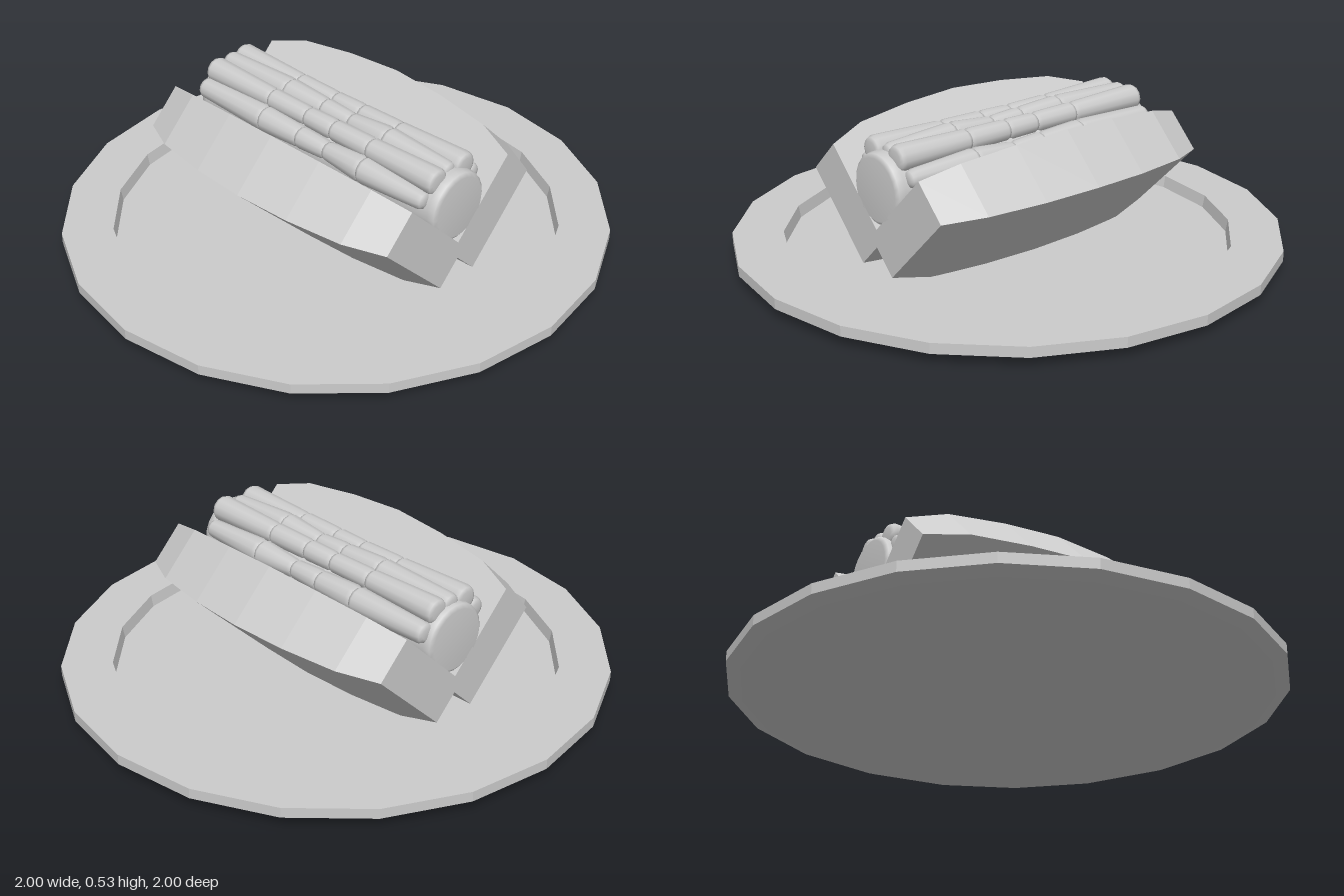
import * as THREE from 'three';

const material = (flatShading) =>
  new THREE.MeshStandardMaterial({ color: 0xcccccc, flatShading });

function addMesh(parent, name, geometry, flat) {
  const mesh = new THREE.Mesh(geometry, material(flat));
  mesh.name = name;
  parent.add(mesh);
  return mesh;
}

const lathe = (points, sides) =>
  new THREE.LatheGeometry(points.map(([r, y]) => new THREE.Vector2(r, y)), sides);

// Slab of bread leaning outwards at 45 degrees, lofted along x.
// Each station: x, (z + y) at the upper end, (z - y) of the outer crust.
function breadGeometry() {
  const half = [[0.22, 0.828, 0.105], [0.44, 0.785, 0.075], [0.585, 0.705, 0.02]];
  const stations = [
    ...half.map(([x, c, d]) => [-x, c, d]).reverse(),
    [0, 0.848, 0.115],
    ...half,
  ];
  const inner = -0.215, low = 0.15;
  const positions = [], index = [];
  for (const [x, high, outer] of stations) {
    for (const [sum, diff] of [[low, inner], [low, outer], [high, outer], [high, inner]]) {
      positions.push(x, (sum - diff) / 2, (sum + diff) / 2);
    }
  }
  for (let s = 0; s < stations.length - 1; s++) {
    for (let k = 0; k < 4; k++) {
      const a = s * 4 + k, b = s * 4 + (k + 1) % 4;
      index.push(a, a + 4, b, b, a + 4, b + 4);
    }
  }
  const e = (stations.length - 1) * 4;
  index.push(0, 1, 2, 0, 2, 3, e, e + 2, e + 1, e, e + 3, e + 2);
  const g = new THREE.BufferGeometry();
  g.setAttribute('position', new THREE.Float32BufferAttribute(positions, 3));
  g.setIndex(index);
  const out = g.toNonIndexed();
  out.computeVertexNormals();
  return out;
}

// Tapered, round-ended piece of topping lying along x
function toppingGeometry(x0, x1, r0, r1) {
  const round = 0.02;
  const g = lathe([
    [0, x0], [r0 - round, x0], [r0 - round * 0.3, x0 + round * 0.3], [r0, x0 + round],
    [r1, x1 - round], [r1 - round * 0.3, x1 - round * 0.3], [r1 - round, x1], [0, x1],
  ], 12);
  return g.rotateZ(-Math.PI / 2);
}

export function createModel() {
  const model = new THREE.Group();
  model.name = 'hotDogOnPlate';

  // Twenty-sided plate with a sunken middle
  addMesh(model, 'plate', lathe([
    [0, 0.005], [0.88, 0.005], [0.95, 0.022], [1, 0.042], [1, 0.08],
    [0.815, 0.08], [0.807, 0.035], [0, 0.035],
  ], 20), true);

  // Two mirrored bun halves
  const bun = new THREE.Group();
  bun.name = 'bun';
  model.add(bun);
  addMesh(bun, 'frontBunHalf', breadGeometry(), true);
  addMesh(bun, 'backBunHalf', breadGeometry().rotateY(Math.PI), true);

  // Sausage
  const centreY = 0.36;
  const sausage = addMesh(model, 'sausage', lathe([
    [0, -0.585], [0.112, -0.585], [0.126, -0.575], [0.131, -0.55],
    [0.131, 0.55], [0.126, 0.575], [0.112, 0.585], [0, 0.585],
  ], 24).rotateZ(-Math.PI / 2), false);
  sausage.position.y = centreY;

  // Five rows of topping around the upper side of the sausage
  const toppings = new THREE.Group();
  toppings.name = 'toppings';
  model.add(toppings);
  const cuts = [-0.56, -0.25, -0.07, 0.06, 0.235, 0.55];
  const wide = [0.045, 0.04, 0.038, 0.04, 0.042, 0.05];
  const slim = [0.04, 0.05, 0.042, 0.036, 0.05, 0.042];
  [-64, -29, 0, 32, 64].forEach((degrees, row) => {
    const angle = THREE.MathUtils.degToRad(degrees);
    const radii = row % 2 ? wide : slim;
    for (let i = 0; i < cuts.length - 1; i++) {
      const shift = row % 2 ? 0 : 0.012;
      const end = i === 4 ? 0.82 : 1;
      const start = i === 0 && row % 2 ? 1.08 : 1;
      const piece = addMesh(toppings, 'toppingPiece', toppingGeometry(
        cuts[i] + (i ? shift : 0), cuts[i + 1] + shift * (i < 4 ? 1 : -1) + (i < 4 ? 0.012 : 0),
        radii[i] * start, radii[i + 1] * (row % 2 ? 1 : end),
      ), false);
      const ring = row === 2 ? 0.122 : 0.137;
      piece.position.set(0, centreY + ring * Math.cos(angle), ring * Math.sin(angle));
    }
  });

  return model;
}
